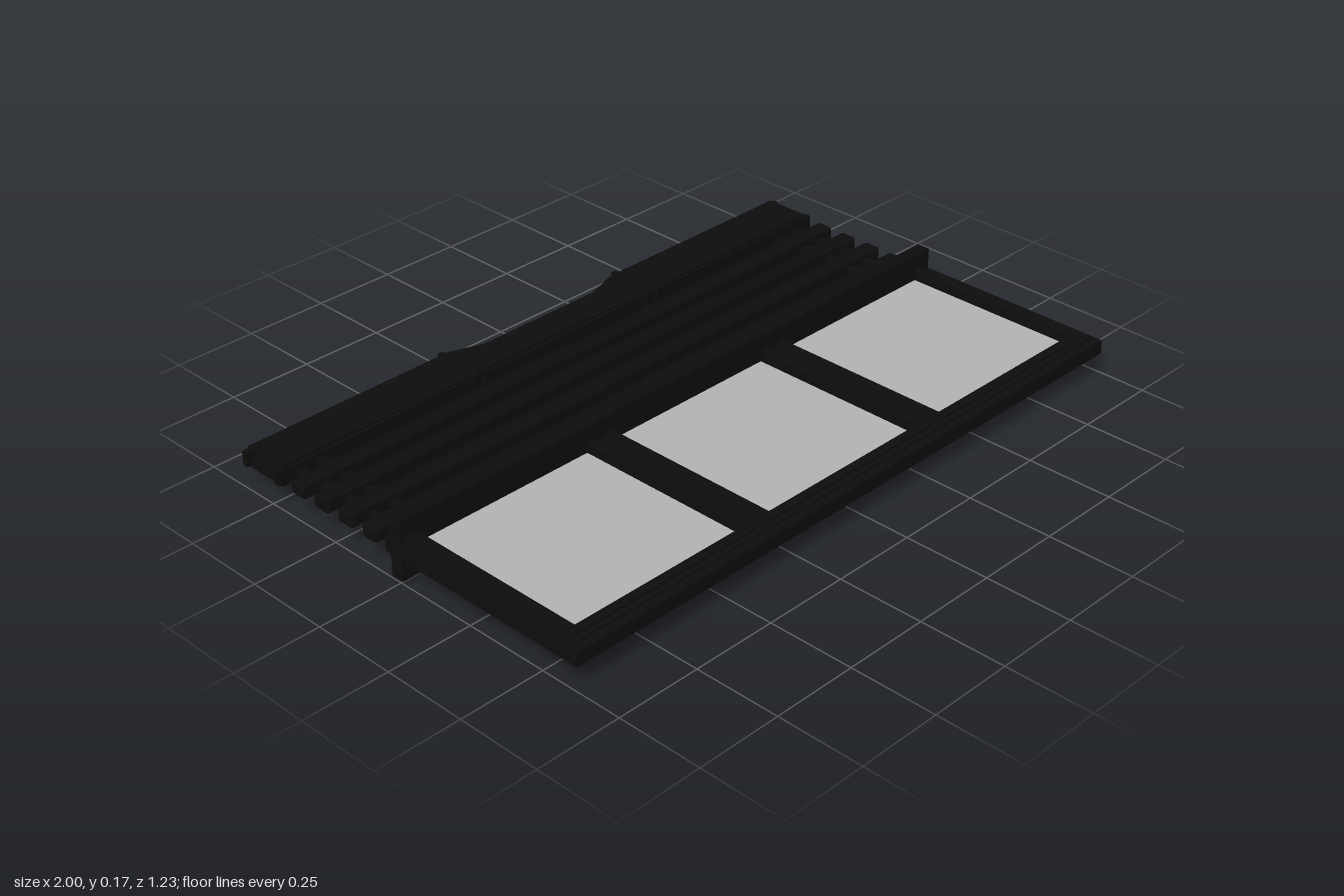
import * as THREE from 'three';
import { RoundedBoxGeometry } from 'three/addons/geometries/RoundedBoxGeometry.js';

export function createModel() {
  const black = new THREE.MeshStandardMaterial({ color: 0x0d0d0d });
  black.name = 'black frame';
  const glass = new THREE.MeshStandardMaterial({ color: 0xb2b2b2 });
  glass.name = 'grey glass';
  const root = new THREE.Group();
  root.name = 'windowWithBlind';
  const midX = -0.004;

  const add = (name, geometry, material = black, parent = root) => {
    const mesh = new THREE.Mesh(geometry, material);
    mesh.name = name;
    parent.add(mesh);
    return mesh;
  };
  const box = (name, x0, x1, y0, y1, z0, z1, material, parent) => {
    const mesh = add(name, new THREE.BoxGeometry(x1 - x0, y1 - y0, z1 - z0), material, parent);
    mesh.position.set((x0 + x1) / 2, (y0 + y1) / 2, (z0 + z1) / 2);
    return mesh;
  };
  // Outline in x and z, raised from y0 to y1
  const outline = (points) => new THREE.Shape(points.map(([x, z]) => new THREE.Vector2(x, -z)));
  const rect = (x0, x1, z0, z1) => [[x0, z0], [x0, z1], [x1, z1], [x1, z0]];
  const slab = (name, shape, y0, y1) => {
    const geometry = new THREE.ExtrudeGeometry(shape, { depth: y1 - y0, bevelEnabled: false });
    geometry.rotateX(-Math.PI / 2);
    geometry.translate(0, y0, 0);
    return add(name, geometry);
  };

  // Window frame with three openings
  const paneHalf = 0.281, paneTop = 0, paneEnd = 0.545;
  const panes = [-0.652, 0, 0.652].map((x) => x + midX - 0.001);
  const frame = outline(rect(midX - 0.993, midX + 0.993, -0.055, 0.613));
  for (const x of panes) {
    frame.holes.push(outline(rect(x - paneHalf, x + paneHalf, paneTop, paneEnd)));
  }
  slab('windowFrame', frame, 0.066, 0.107);

  // Stepped beads and glass around each opening
  for (const x of panes) {
    for (const [width, y0, y1] of [[0.042, 0.06, 0.113], [0.026, 0.053, 0.12]]) {
      const bead = outline(rect(x - paneHalf - width, x + paneHalf + width, -0.02, paneEnd + width));
      bead.holes.push(outline(rect(x - paneHalf, x + paneHalf, paneTop, paneEnd)));
      slab('glazingBead', bead, y0, y1);
    }
    box('glassPane', x - paneHalf, x + paneHalf, 0.083, 0.09, paneTop, paneEnd, glass);
  }

  // Tall cross bar between window and slats
  box('crossBar', midX - 0.99, midX + 0.99, 0, 0.17, -0.04, 0);

  // Slats
  for (let i = 0; i < 4; i++) {
    const slat = add('slat', new RoundedBoxGeometry(1.986, 0.042, 0.053, 2, 0.008));
    slat.position.set(midX, 0.087, -0.118 - 0.0925 * i);
  }

  // Flat straps that carry the slats
  for (const x of [-0.93, -0.862, 0.862, 0.93]) {
    box('strap', x + midX - 0.014, x + midX + 0.014, 0.082, 0.092, -0.5, -0.04);
  }

  // Head box with a sloped recess in its back edge
  const end = 0.983, back = -0.613;
  slab('headBox', outline([
    [-end, -0.475], [end, -0.475], [end, back], [0.305, back],
    [0.2, -0.577], [-0.21, -0.577], [-0.31, back], [-end, back],
  ]), 0.055, 0.115);
  box('frontLip', -1, 1, 0.066, 0.108, -0.487, -0.467);
  for (const side of [-1, 1]) {
    const edges = [side * 0.31, side].sort((a, b) => a - b);
    box('backLip', edges[0], edges[1], 0.066, 0.108, -0.615, -0.597);
  }

  // Clips wrapped around the head box, each with two prongs and a stem
  const half = [[-0.453, 0.035], [-0.465, 0.047], [-0.495, 0.047], [-0.51, 0.038], [-0.53, 0.03]];
  const profile = [...half, ...half.slice().reverse().map(([z, h]) => [z, -h])];
  for (const side of [-1, 1]) {
    const clip = new THREE.Group();
    clip.name = 'clip';
    clip.position.x = side * 0.327 + midX;
    root.add(clip);
    for (const offset of [-0.021, 0.021]) {
      const shape = new THREE.Shape(profile.map(([z, h]) => new THREE.Vector2(-z, 0.087 + h)));
      const geometry = new THREE.ExtrudeGeometry(shape, { depth: 0.014, bevelEnabled: false });
      geometry.rotateY(Math.PI / 2);
      geometry.translate(offset - 0.007, 0, 0);
      add('clipProng', geometry, black, clip);
    }
    box('clipStem', -0.008, 0.008, 0.054, 0.12, -0.62, -0.5, black, clip);
  }
  return root;
}
